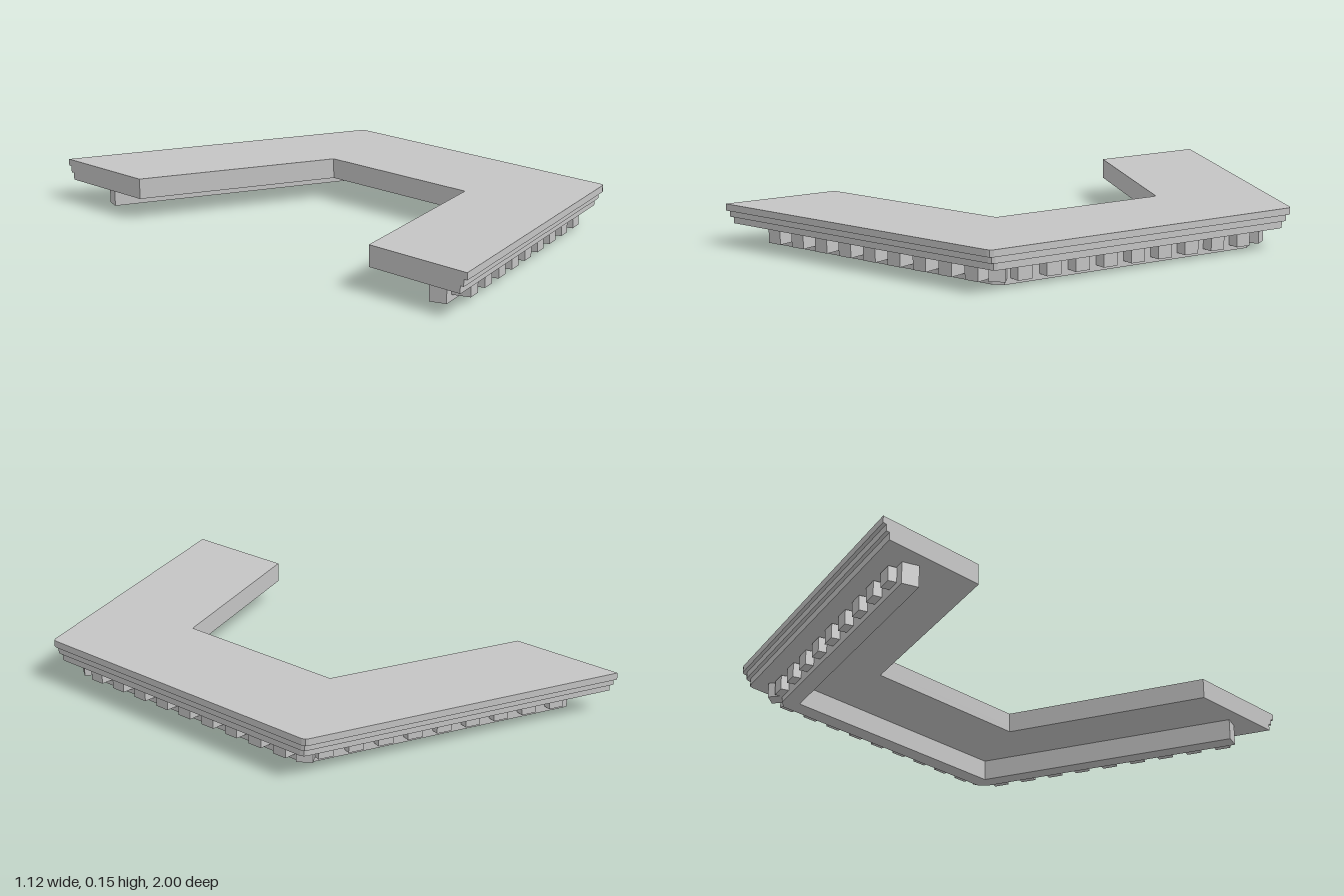
import * as THREE from 'three';

const SLOPE = 0.359;                      // slant of the two wings
const LEN = Math.hypot(1, SLOPE);

export function createModel() {
  const model = new THREE.Group();
  model.name = 'cornice';
  const stone = new THREE.MeshStandardMaterial({ color: 0xc4c4c4 });
  stone.name = 'pale grey stone';

  // Flat slab from half an outline (x, z), mirrored across z = 0
  function slab(name, half, y0, y1) {
    const pts = [...half, ...half.map(([x, z]) => [x, -z]).reverse()];
    const shape = new THREE.Shape(pts.map(([x, z]) => new THREE.Vector2(x, z)));
    const geo = new THREE.ExtrudeGeometry(shape, { depth: y1 - y0, bevelEnabled: false });
    geo.rotateX(Math.PI / 2).translate(0, y1, 0);
    const mesh = new THREE.Mesh(geo, stone);
    mesh.name = name;
    model.add(mesh);
  }

  // Three stepped mouldings, the widest on top; inner edges are flush
  const levels = [0.147, 0.123, 0.1, 0.075];
  ['topMoulding', 'middleMoulding', 'lowerMoulding'].forEach((name, i) => {
    const dx = i * 0.008, dz = i * 0.014;
    // The inner half outline is listed from the centre gap outwards
    slab(name, [
      [0.14, 0.33], [-0.56, 0.58], [-0.56, 1 - dz],
      [0.54 - dx, 0.608 - dz * 0.8], [0.55 - dx, 0.602 - dz * 0.8], [0.555 - dx, 0.59 - dz * 0.8],
    ], levels[i + 1], levels[i]);
  });

  // Narrow band behind the dentils
  slab('friezeBand', [
    [0.395, 0.469], [-0.51, 0.794], [-0.49, 0.85], [0.43, 0.52], [0.455, 0.49],
  ], 0, 0.075);

  // One dentil on the band face, pointing along the normal (nx, nz)
  const dentils = new THREE.Group();
  dentils.name = 'dentils';
  model.add(dentils);
  function dentil(x, z, nx, nz, depth) {
    const geo = new THREE.BoxGeometry(0.055, 0.052, depth + 0.01);
    geo.translate(0, 0, (depth - 0.01) / 2);
    const mesh = new THREE.Mesh(geo, stone);
    mesh.name = 'dentil';
    mesh.position.set(x, 0.046, z);
    mesh.rotation.y = Math.atan2(nx, nz);
    dentils.add(mesh);
  }

  // Dentils of both wings and the two corners
  for (const [side, depth] of [[1, 0.065], [-1, 0.03]]) {
    for (let i = 0; i < 9; i++) {
      const x = -0.43 + i * 0.1035;
      const z = 0.85 - SLOPE * (x + 0.49);
      dentil(x, side * z, SLOPE / LEN, side / LEN, depth);
    }
    dentil(0.443, side * 0.507, 0.82, side * 0.57, 0.045);
  }
  // Dentils of the long straight side
  for (let i = -4; i <= 4; i++) dentil(0.455, i * 0.11, 1, 0, 0.045);

  return model;
}
